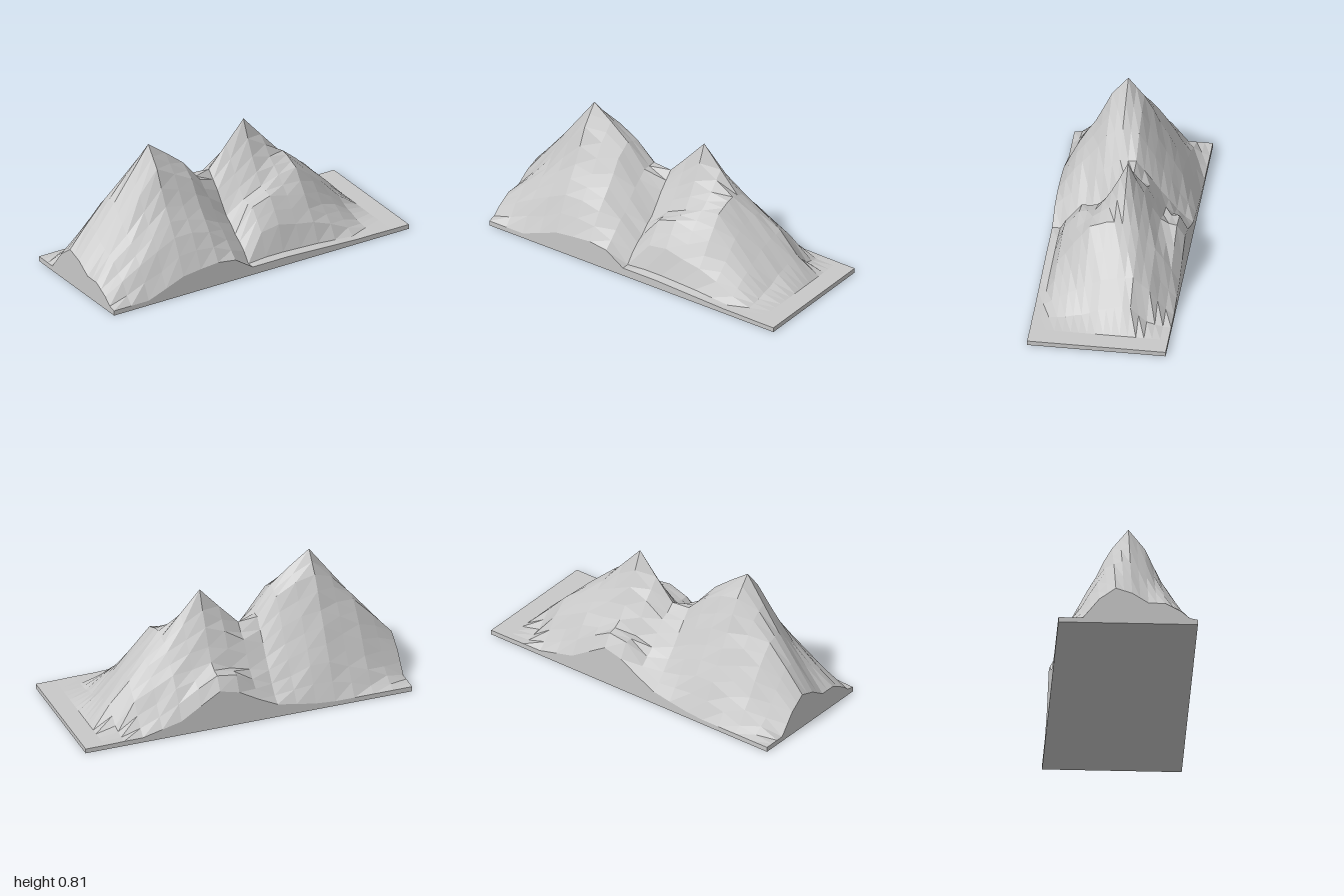
import * as THREE from 'three';

const WIDTH = 2, DEPTH = 0.8, CELLS = 17, FLOOR = 0.028;

// Cross-sections of the terrain: heights in hundredths at these x stations
const stations = [-1, -0.76, -0.53, -0.41, -0.29, -0.18, -0.06, 0.06, 0.18, 0.41, 0.65, 0.77];
// One section per chosen grid row, row 0 being the front edge
const sections = [
  { row: 0, h: [3, 3, 12, 13.5, 14.5, 13, 5, 5, 5, 4, 3, 3] },
  { row: 1, h: [4, 12, 22, 23, 22, 17, 5, 6, 6, 5, 3, 3] },
  { row: 2, h: [8, 21, 32, 32, 30, 22, 10, 19, 22, 17, 6, 3] },
  { row: 4, h: [13, 32, 49, 46, 42, 30, 18, 32, 36, 30, 13, 4] },
  { row: 6, h: [13, 40, 69, 62, 55, 42, 25, 33, 38, 45, 19, 7] },
  { row: 8, h: [19, 50, 81, 72, 62, 48, 37, 46, 53, 48, 23, 10] },
  { row: 10, h: [22, 49, 69, 66, 60, 48, 47, 60, 74, 48, 27, 13] },
  { row: 12, h: [15, 37, 51, 48, 43, 35, 40, 48, 53, 43, 28, 15] },
  { row: 14, h: [3, 21, 33, 32, 28, 23, 26, 30, 35, 31, 19, 5] },
  { row: 16, h: [3, 6, 14, 14, 12, 11, 18, 30, 31, 18, 6, 3] },
  { row: 17, h: [3, 3, 3, 4, 6, 8, 14, 21, 24, 9, 3, 3] },
];

function sectionHeight(h, x) {
  const xs = [...stations, 0.88, 1], hs = [...h, 2.8, 2.8];
  let i = 0;
  while (i < xs.length - 2 && x > xs[i + 1]) i++;
  return THREE.MathUtils.lerp(hs[i], hs[i + 1], (x - xs[i]) / (xs[i + 1] - xs[i])) / 100;
}

function terrainHeight(x, row) {
  let i = 0;
  while (i < sections.length - 2 && row > sections[i + 1].row) i++;
  const a = sections[i], b = sections[i + 1];
  const t = (row - a.row) / (b.row - a.row);
  return Math.max(FLOOR, THREE.MathUtils.lerp(sectionHeight(a.h, x), sectionHeight(b.h, x), t));
}

// Upright wall from the base up to a line of edge points
function wallGeometry(points) {
  const pos = [];
  for (let i = 0; i < points.length - 1; i++) {
    const [a, b] = [points[i], points[i + 1]];
    pos.push(a.x, FLOOR, a.z, b.x, FLOOR, b.z, b.x, b.y, b.z);
    pos.push(a.x, FLOOR, a.z, b.x, b.y, b.z, a.x, a.y, a.z);
  }
  const geo = new THREE.BufferGeometry();
  geo.setAttribute('position', new THREE.Float32BufferAttribute(pos, 3));
  geo.computeVertexNormals();
  return geo;
}

export function createModel() {
  const model = new THREE.Group();
  model.name = 'mountainDiorama';
  const stone = new THREE.MeshStandardMaterial({ color: 0xc8c8c8, flatShading: true, side: THREE.DoubleSide });
  stone.name = 'grey stone';

  const add = (name, geometry) => {
    const mesh = new THREE.Mesh(geometry, stone);
    mesh.name = name;
    model.add(mesh);
  };

  // Base slab
  add('base', new THREE.BoxGeometry(WIDTH, FLOOR, DEPTH).translate(0, FLOOR / 2, 0));

  // Twin-peaked terrain on a regular grid, with slight roughness on the slopes
  const land = new THREE.PlaneGeometry(WIDTH, DEPTH, CELLS, CELLS).rotateX(-Math.PI / 2);
  const pos = land.attributes.position;
  let seed = 7;
  const random = () => (seed = (seed * 16807) % 2147483647) / 2147483647;
  const edges = { front: [], back: [], left: [] };
  for (let i = 0; i < pos.count; i++) {
    const col = i % (CELLS + 1), row = CELLS - Math.floor(i / (CELLS + 1));
    const x = pos.getX(i);
    let y = terrainHeight(x, row);
    const rough = (random() - 0.5) * 0.018;
    if (y > 0.06 && y < 0.66 && row > 0 && row < CELLS && col > 0) y += rough;
    pos.setY(i, y);
    const p = new THREE.Vector3(x, y, pos.getZ(i));
    if (row === 0) edges.front.push(p);
    if (row === CELLS) edges.back.unshift(p);
    if (col === 0) edges.left.push(p);
  }
  land.computeVertexNormals();
  add('mountains', land);

  // Cut faces where the mountains meet the edge of the base
  add('frontCut', wallGeometry(edges.front));
  add('backCut', wallGeometry(edges.back));
  add('sideCut', wallGeometry(edges.left));
  return model;
}
